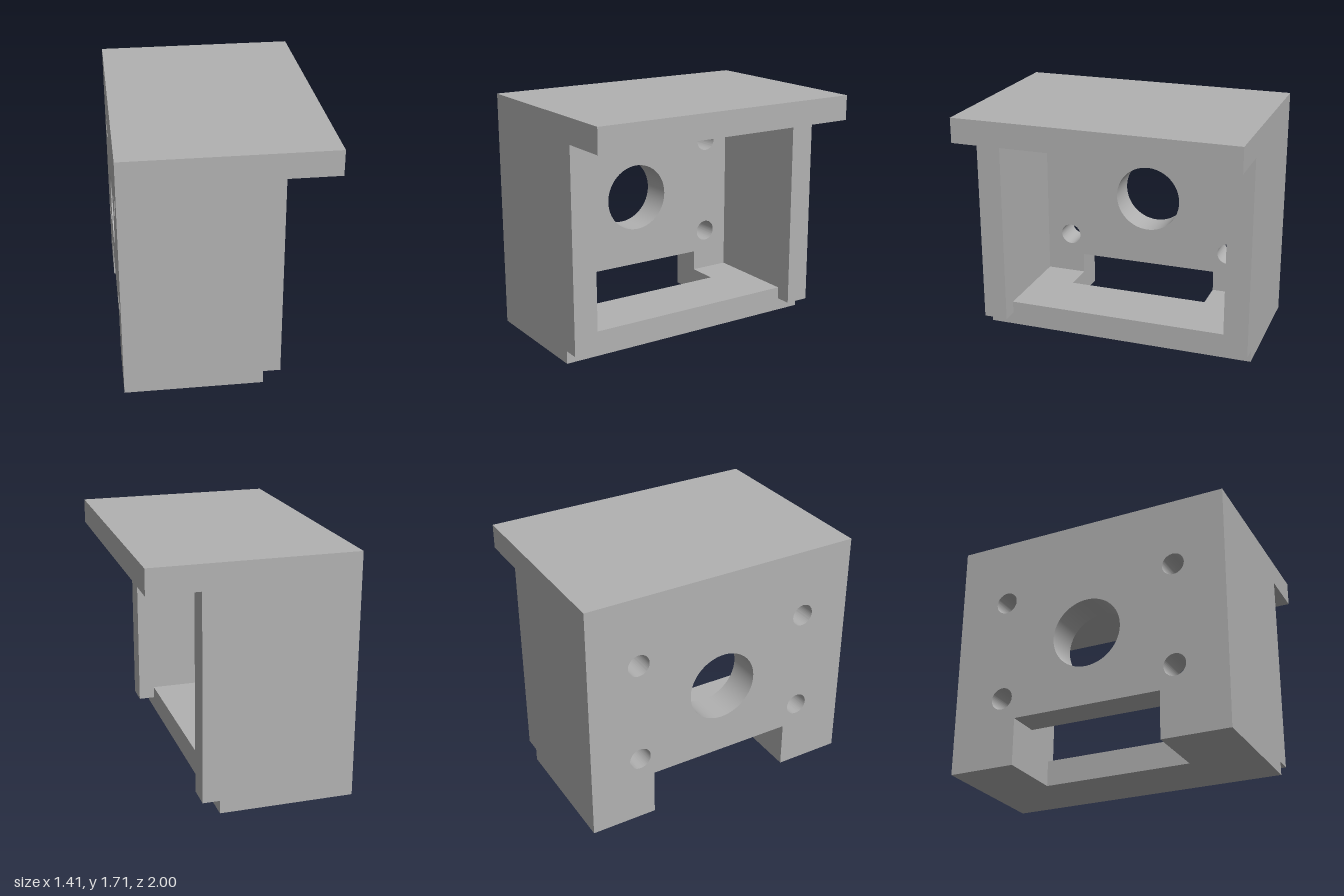
import * as THREE from 'three';
import { toCreasedNormals } from 'three/addons/utils/BufferGeometryUtils.js';

const BACK = -0.706, TOP_FRONT = 0.706, INNER = -0.471; // x of wall faces
const HEIGHT = 1.71, CEILING = 1.535, FLOOR = 0.18, SIDE = 0.175;
const NOTCH = 0.53; // half width of the cable notch

export function createModel() {
  const group = new THREE.Group();
  group.name = 'motorMountBracket';
  const grey = new THREE.MeshStandardMaterial({ color: 0xb2b2b2 });
  grey.name = 'grey';

  const add = (name, geometry) => {
    const mesh = new THREE.Mesh(geometry, grey);
    mesh.name = name;
    group.add(mesh);
    return mesh;
  };
  const outline = (points) => new THREE.Shape(points.map(([a, b]) => new THREE.Vector2(a, b)));
  const extrude = (shape, depth) => toCreasedNormals(
    new THREE.ExtrudeGeometry(shape, { depth, bevelEnabled: false, curveSegments: 48 }), 0.5);

  // Overhanging top plate
  add('topPlate', new THREE.BoxGeometry(TOP_FRONT - BACK, HEIGHT - CEILING, 2))
    .position.set(0, (HEIGHT + CEILING) / 2, 0);

  // Mounting wall with shaft hole, four screw holes and a notch at the foot
  const wall = outline([[-1, 0], [-NOTCH, 0], [-NOTCH, 0.33], [NOTCH, 0.33], [NOTCH, 0],
    [1, 0], [1, CEILING], [-1, CEILING]]);
  const drill = (z, y, r) => wall.holes.push(new THREE.Path().absarc(z, y, r, 0, Math.PI * 2, true));
  drill(0, 0.856, 0.249);
  for (const z of [-0.635, 0.635]) for (const y of [0.489, 1.223]) drill(z, y, 0.078);
  add('mountingWall', extrude(wall, INNER - BACK).rotateY(Math.PI / 2)).position.x = BACK;

  // Floor plate, notched in line with the wall
  const floor = outline([[INNER, -1], [0.232, -1], [0.232, 1], [INNER, 1],
    [INNER, NOTCH], [-0.236, NOTCH], [-0.236, -NOTCH], [INNER, -NOTCH]]);
  add('floorPlate', extrude(floor, FLOOR).rotateX(-Math.PI / 2));

  // Side walls, with a lip running down past the front of the floor
  const side = outline([[INNER, FLOOR], [0.232, FLOOR], [0.232, 0.092], [0.35, 0.092],
    [0.35, CEILING], [INNER, CEILING]]);
  for (const [name, z] of [['leftSideWall', -1], ['rightSideWall', 1 - SIDE]]) {
    add(name, extrude(side, SIDE)).position.z = z;
  }
  return group;
}
